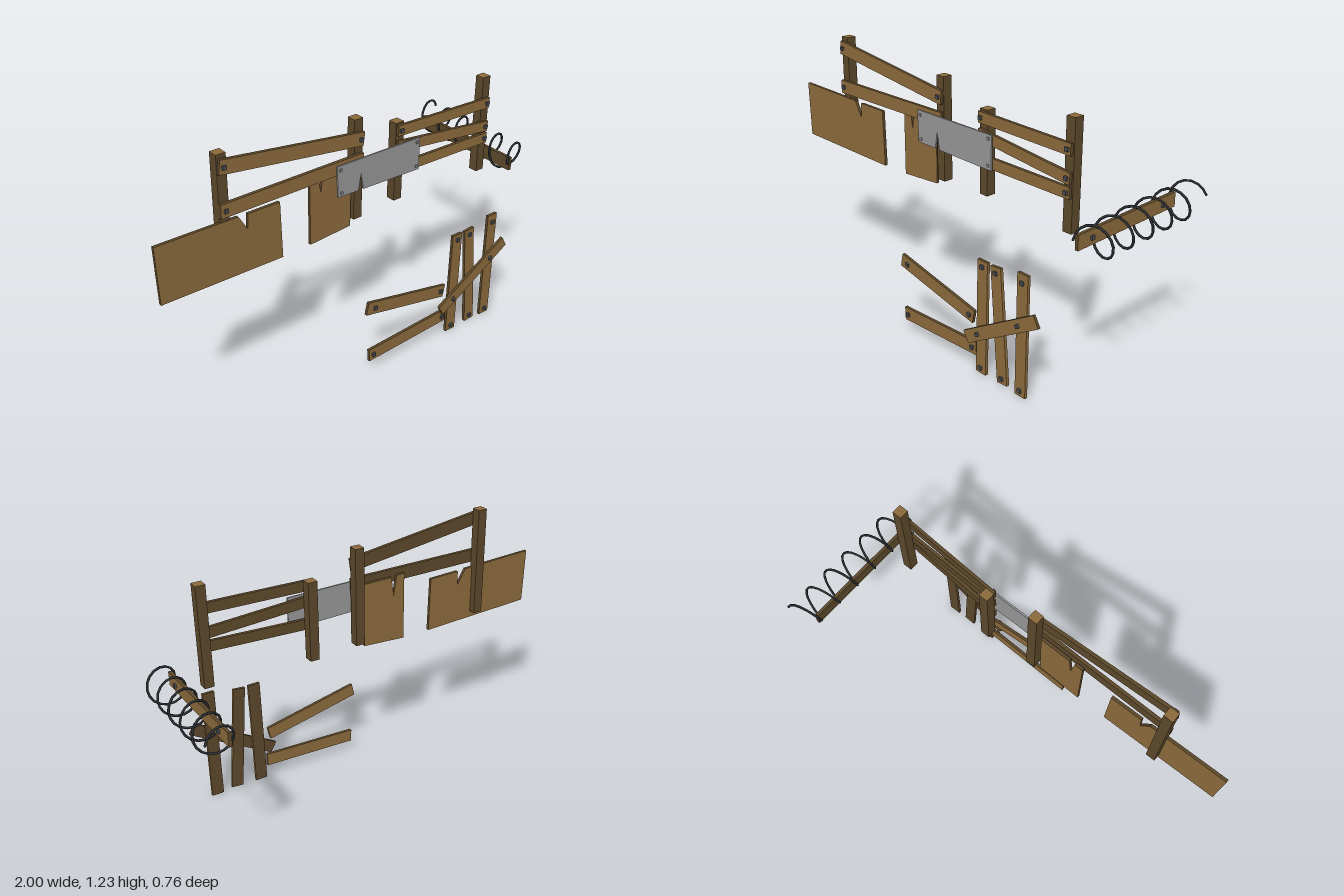
import * as THREE from 'three';

export function createModel() {
  const mat = (name, color, side = THREE.FrontSide) => {
    const m = new THREE.MeshStandardMaterial({ color, side });
    m.name = name;
    return m;
  };
  const wood = mat('wood', 0x8b6a3b);
  const dark = mat('dark wood', 0x5c482a);
  const metal = mat('metal sheet', 0x969696);
  const iron = mat('iron bolt', 0x4a4d52);
  const wire = mat('wire', 0x2a2c30);

  const root = new THREE.Group();

  // box face order: +x, -x, +y, -y, +z, -z
  const frontFaced = [dark, dark, dark, dark, wood, dark];
  const bothFaced = [dark, dark, dark, dark, wood, wood];
  const edgeFaced = [dark, dark, wood, dark, wood, dark];
  const postFaces = [dark, dark, wood, wood, dark, dark];

  const boltGeo = new THREE.BoxGeometry(0.017, 0.017, 0.012);
  function addBolt(parent, x, y, z) {
    const b = new THREE.Mesh(boltGeo, iron);
    b.name = 'bolt';
    b.position.set(x, y, z);
    parent.add(b);
  }

  // board from point a to point b, its face turned towards `facing`
  function plank(name, a, b, width, thick, faces, bolts, facing = [0, 0, 1]) {
    const p = new THREE.Vector3(...a), q = new THREE.Vector3(...b);
    const length = p.distanceTo(q);
    const X = q.clone().sub(p).normalize();
    const Z = new THREE.Vector3(...facing);
    Z.addScaledVector(X, -Z.dot(X)).normalize();
    const Y = Z.clone().cross(X);
    const m = new THREE.Mesh(new THREE.BoxGeometry(length, width, thick), faces);
    m.name = name;
    m.quaternion.setFromRotationMatrix(new THREE.Matrix4().makeBasis(X, Y, Z));
    m.position.copy(p).add(q).multiplyScalar(0.5);
    bolts.forEach((t) => addBolt(m, (t - 0.5) * length, 0, thick / 2 + 0.004));
    root.add(m);
    return m;
  }

  // fence posts: x, z, bottom, top
  [
    [-0.677, 0.157, 0.7, 1.227],
    [-0.003, 0.157, 0.706, 1.179],
    [0.246, 0.138, 0.706, 1.086],
    [0.744, 0.166, 0.706, 1.179],
  ].forEach(([x, z, y0, y1]) => {
    const post = new THREE.Mesh(new THREE.BoxGeometry(0.045, y1 - y0, 0.045), postFaces);
    post.name = 'fencePost';
    post.position.set(x, (y0 + y1) / 2, z);
    root.add(post);
  });

  // fence rails, left and right bay
  plank('upperRail', [-0.695, 1.178, 0.186], [0.016, 1.088, 0.186], 0.063, 0.016, frontFaced, [0.025, 0.975]);
  plank('lowerRail', [-0.7, 0.988, 0.186], [0.016, 0.992, 0.186], 0.062, 0.016, frontFaced, [0.03]);
  [[1.053, 1.054, [0.03, 0.97]], [0.979, 0.936, [0.97]], [0.868, 0.878, [0.97]]].forEach(([y0, y1, bolts]) =>
    plank('shortRail', [0.227, y0, 0.168], [0.76, y1, 0.195], 0.05, 0.015, frontFaced, bolts));

  // flat panels cut to an outline
  function panel(name, outline, depth, z, tilt, mats) {
    const shape = new THREE.Shape(outline.map(([x, y]) => new THREE.Vector2(x, y)));
    const geo = new THREE.ExtrudeGeometry(shape, { depth, bevelEnabled: false });
    const m = new THREE.Mesh(geo, mats);
    m.name = name;
    m.position.z = z;
    m.rotation.y = tilt;
    root.add(m);
    return m;
  }
  panel('widePanel', [
    [-0.997, 0.941], [-0.989, 0.676], [-0.404, 0.663], [-0.412, 0.928],
    [-0.57, 0.93], [-0.572, 0.861], [-0.615, 0.933],
  ], 0.014, 0.158, 0.015, [wood, dark]);
  panel('narrowPanel', [
    [-0.257, 0.995], [-0.257, 0.664], [-0.04, 0.679], [-0.035, 0.99],
    [-0.187, 0.99], [-0.2, 0.895], [-0.215, 0.993],
  ], 0.014, 0.16, 0, [wood, dark]);

  // metal sheet bridging the gap, nicked at the lower edge
  const sheet = panel('metalSheet', [
    [-0.133, 1.005], [-0.128, 0.858], [-0.017, 0.856], [-0.003, 0.935],
    [0.01, 0.855], [0.332, 0.848], [0.332, 1.003],
  ], 0.008, 0.192, 0, metal);
  [[-0.115, 0.985], [-0.11, 0.875], [0.315, 0.985], [0.315, 0.868]].forEach(([x, y]) => {
    const rivet = new THREE.Mesh(new THREE.BoxGeometry(0.012, 0.012, 0.006), metal);
    rivet.name = 'rivet';
    rivet.position.set(x, y, 0.01);
    sheet.add(rivet);
  });

  // loose boards in front
  plank('looseBoard', [-0.081, 0.348, 0.344], [0.388, 0.249, 0.344], 0.062, 0.014, bothFaced, [0.09, 0.95]);
  plank('looseBoard', [-0.066, 0.084, 0.344], [0.406, 0.104, 0.344], 0.062, 0.014, bothFaced, [0.05, 0.95]);
  plank('uprightBoard', [0.449, 0.535, 0.35], [0.441, 0.005, 0.35], 0.058, 0.014, edgeFaced, [0.05, 0.95]);
  plank('uprightBoard', [0.524, 0.535, 0.35], [0.569, 0.01, 0.35], 0.058, 0.014, edgeFaced, [0.05, 0.95]);
  plank('uprightBoard', [0.675, 0.56, 0.35], [0.672, 0.002, 0.35], 0.058, 0.014, edgeFaced, [0.07, 0.95]);
  plank('crossBoard', [0.361, 0.152, 0.363], [0.762, 0.388, 0.363], 0.058, 0.013, frontFaced, [0.18, 0.76]);

  // board carrying the coiled wire
  plank('wireBoard', [0.866, 0.732, 0.27], [0.866, 0.742, -0.325], 0.065, 0.016, frontFaced, [0.13, 0.86], [1, 0, 0]);

  // coiled wire: a helix running backwards and rising slightly
  class Coil extends THREE.Curve {
    getPoint(t, target = new THREE.Vector3()) {
      const a = t * 5.45 * Math.PI * 2;
      return target.set(
        0.92 - 0.073 * Math.cos(a),
        0.735 + 0.022 * t + 0.075 * Math.sin(a),
        0.27 - 0.643 * t);
    }
  }
  const coil = new THREE.Mesh(new THREE.TubeGeometry(new Coil(), 88, 0.0055, 6), wire);
  coil.name = 'coiledWire';
  root.add(coil);

  return root;
}
